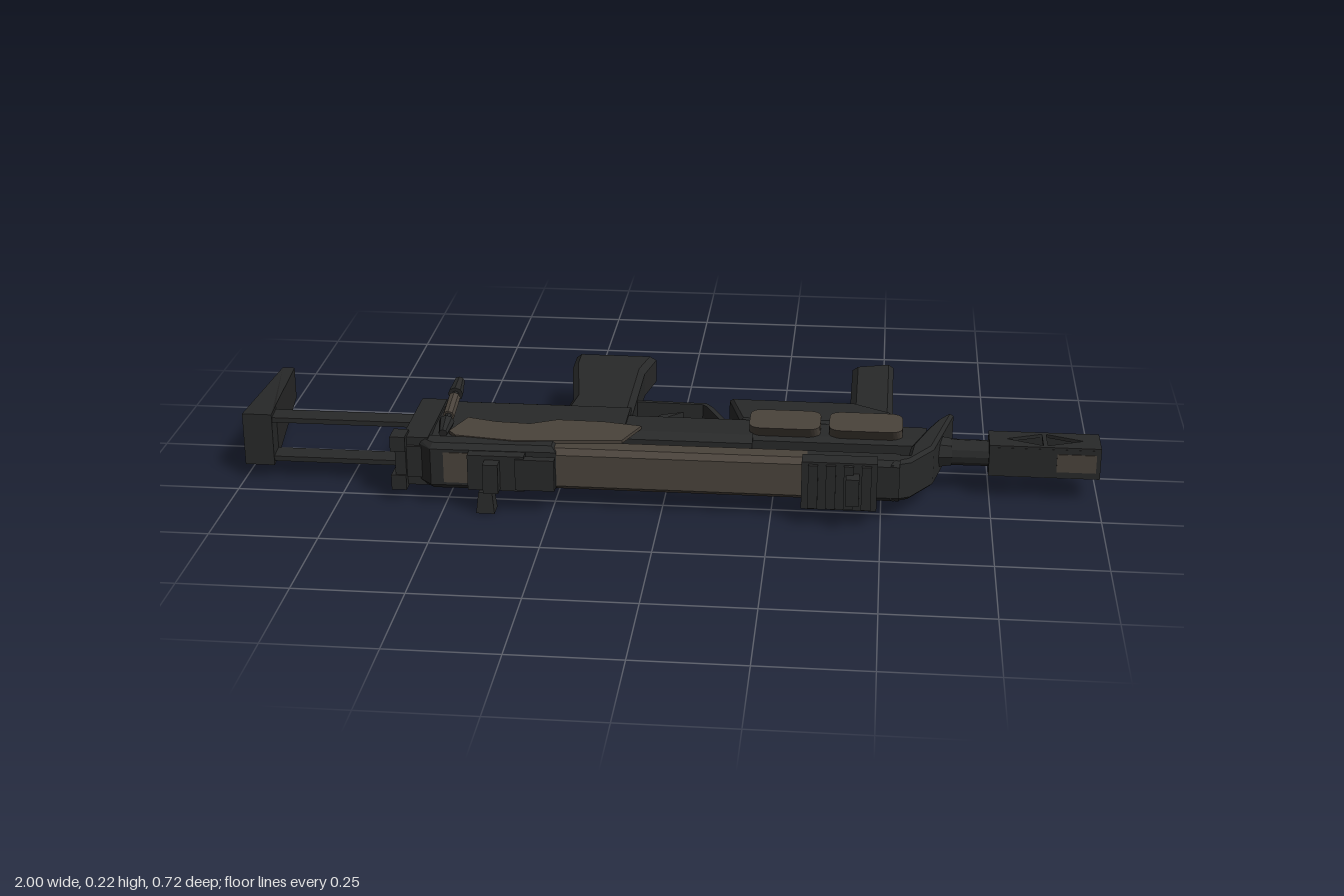
import * as THREE from 'three';

const MID = 0.097; // height of the centre plane (the model lies on its side)

export function createModel() {
  const root = new THREE.Group();
  const dark = new THREE.MeshStandardMaterial({ color: 0x282929 });
  dark.name = 'charcoal';
  const brown = new THREE.MeshStandardMaterial({ color: 0x4a433b });
  brown.name = 'brown';

  const add = (name, geo, mat) => {
    const m = new THREE.Mesh(geo, mat);
    m.name = name;
    root.add(m);
    return m;
  };
  const outline = pts => new THREE.Shape(pts.map(p => new THREE.Vector2(...p)));

  // Slab from an outline in x,z; symmetric about height y, with optional chamfer
  function slabGeo(shape, half, bevel = 0, y = MID) {
    const g = new THREE.ExtrudeGeometry(shape, {
      depth: 2 * (half - bevel), bevelEnabled: bevel > 0, bevelSize: bevel, bevelOffset: -bevel,
      bevelThickness: bevel, bevelSegments: 1, curveSegments: 6,
    });
    g.translate(0, 0, -(half - bevel));
    g.rotateX(Math.PI / 2);
    return g.translate(0, y, 0);
  }
  const slab = (name, pts, half, mat = dark, bevel = 0, y = MID) =>
    add(name, slabGeo(outline(pts), half, bevel, y), mat);

  // Box given by its limits on each axis
  function box(name, x0, x1, y0, y1, z0, z1, mat = dark) {
    const g = new THREE.BoxGeometry(x1 - x0, y1 - y0, z1 - z0);
    g.translate((x0 + x1) / 2, (y0 + y1) / 2, (z0 + z1) / 2);
    return add(name, g, mat);
  }

  // Prism along x from half of a symmetric section: [z, half height]
  function prism(name, x0, x1, half, mat = dark) {
    const pts = [...half.map(([z, h]) => [-z, MID + h]),
      ...half.slice().reverse().map(([z, h]) => [-z, MID - h])];
    const g = new THREE.ExtrudeGeometry(outline(pts), { depth: x1 - x0, bevelEnabled: false });
    g.rotateY(Math.PI / 2).translate(x0, 0, 0);
    return add(name, g, mat);
  }

  // Round bar between two points
  function bar(name, a, b, r0, r1 = r0, mat = dark, sides = 8) {
    const p = new THREE.Vector3(...a), q = new THREE.Vector3(...b);
    const g = new THREE.CylinderGeometry(r1, r0, p.distanceTo(q), sides).toNonIndexed();
    g.computeVertexNormals();
    const m = add(name, g, mat);
    m.position.copy(p).lerp(q, 0.5);
    m.quaternion.setFromUnitVectors(new THREE.Vector3(0, 1, 0), q.sub(p).normalize());
  }

  // Sliding end: tapered plate and two rods
  const butt = slab('endPlate', [[-1, -0.19], [-0.97, -0.19], [-0.935, 0.12], [-0.93, 0.18], [-1, 0.18]], 0.064);
  const bp = butt.geometry.attributes.position;
  for (let i = 0; i < bp.count; i++) {
    if (bp.getZ(i) < 0) bp.setY(i, MID + (bp.getY(i) - MID) * 0.62);
  }
  butt.geometry.computeVertexNormals();
  for (const s of [-1, 1]) {
    const y = MID + s * 0.049;
    box('slideRod', -0.94, -0.58, y - 0.006, y + 0.006, 0.122, 0.175);
  }

  // Rear body
  prism('rearBody', -0.6, -0.1, [[0, 0.042], [0.02, 0.05], [0.17, 0.052], [0.25, 0.043], [0.275, 0.038]]);
  box('rearCap', -0.6, -0.54, 0.038, 0.156, 0.03, 0.27);
  slab('upperRear', [[-0.59, 0.24], [-0.24, 0.24], [-0.24, 0.295], [-0.53, 0.3]], 0.056, dark, 0.012);
  for (const y of [0.05, 0.145]) box('rearLug', -0.625, -0.59, y - 0.018, y + 0.018, 0.24, 0.29);
  box('rearLugBridge', -0.615, -0.59, 0.06, 0.135, 0.245, 0.285);

  // Brown side panel with a wavy edge, on the upper face
  slab('sidePanel', [[-0.5, 0.22], [-0.47, 0.135], [-0.4, 0.155], [-0.32, 0.16], [-0.26, 0.13],
    [-0.15, 0.132], [-0.06, 0.15], [-0.095, 0.24], [-0.2, 0.25], [-0.34, 0.265], [-0.48, 0.245]],
    0.004, brown, 0, MID + 0.054);
  box('upperBrownFace', -0.5, -0.38, 0.06, 0.134, 0.296, 0.301, brown);

  // Central and front body
  prism('middleBody', -0.12, 0.2, [[0.045, 0.034], [0.06, 0.046], [0.15, 0.046], [0.175, 0.034]]);
  prism('frontBody', 0.18, 0.6, [[0.05, 0.034], [0.065, 0.044], [0.14, 0.044], [0.155, 0.034]]);
  prism('upperBeam', -0.25, 0.33, [[0.24, 0.05], [0.28, 0.05], [0.295, 0.038]], brown);
  prism('upperBeamFront', 0.33, 0.54, [[0.24, 0.05], [0.28, 0.05], [0.292, 0.038]]);

  // Slanted nose frame
  slab('noseFrame', [[0.65, -0.02], [0.665, -0.02], [0.617, 0.19], [0.565, 0.27], [0.52, 0.292],
    [0.52, 0.245], [0.558, 0.24], [0.565, 0.18], [0.6, 0.08], [0.625, 0.02]], 0.05, dark, 0.008);

  // Flared brown pads, wider towards their outer faces
  for (const [x0, x1] of [[0.19, 0.355], [0.375, 0.545]]) {
    const r = 0.032, s = new THREE.Shape();
    s.moveTo(x0 + r, 0.045).lineTo(x1 - r, 0.045).quadraticCurveTo(x1, 0.045, x1, 0.045 + r);
    s.lineTo(x1, 0.16 - r).quadraticCurveTo(x1, 0.16, x1 - r, 0.16);
    s.lineTo(x0 + r, 0.16).quadraticCurveTo(x0, 0.16, x0, 0.16 - r);
    s.lineTo(x0, 0.045 + r).quadraticCurveTo(x0, 0.045, x0 + r, 0.045);
    for (const side of [-1, 1]) {
      const g = slabGeo(s, 0.018, 0, MID - 0.007 + side * 0.057);
      const p = g.attributes.position;
      for (let i = 0; i < p.count; i++) {
        const out = Math.abs(p.getY(i) - 0.09) > 0.06;
        if (!out) p.setZ(i, 0.1025 + (p.getZ(i) - 0.1025) * 0.6);
      }
      g.computeVertexNormals();
      add('flaredPad', g, brown);
    }
  }

  // Rear grip, front grip, trigger and its guard
  slab('rearGrip', [[-0.28, -0.36], [-0.077, -0.358], [-0.096, -0.256], [-0.096, 0.02], [-0.26, 0.02],
    [-0.25, -0.07], [-0.28, -0.28]], 0.043, dark, 0.014);
  slab('frontGrip', [[0.42, -0.333], [0.522, -0.36], [0.522, 0.03], [0.42, 0.03], [0.42, -0.075]], 0.043, dark, 0.014);
  slab('frontGripMount', [[0.13, -0.075], [0.43, -0.075], [0.522, -0.02], [0.522, 0.055], [0.165, 0.055]], 0.046, dark, 0.008);
  slab('triggerGuard', [[-0.11, -0.1], [0.072, -0.094], [0.09, -0.07], [0.15, 0.06], [0.138, 0.06],
    [0.075, -0.072], [0.064, -0.084], [-0.11, -0.088]], 0.022);
  slab('trigger', [[0.02, -0.05], [-0.015, -0.015], [-0.02, 0.05], [-0.09, 0.05], [-0.05, 0], [-0.03, -0.03]], 0.015);

  // Barrel and slotted muzzle
  bar('barrel', [0.54, MID, 0.098], [0.77, MID, 0.098], 0.032, 0.03, dark, 12);
  bar('barrelCollar', [0.59, MID, 0.098], [0.66, MID, 0.098], 0.045, 0.034);
  const slotted = outline([[0.745, 0.053], [1, 0.053], [1, 0.142], [0.745, 0.142]]);
  for (const [a, b] of [[0.785, 0.868], [0.962, 0.878]]) {
    slotted.holes.push(new THREE.Path([[a, 0.0975], [b, 0.064], [b, 0.131]].map(p => new THREE.Vector2(...p))));
  }
  for (const s of [-1, 1]) {
    add('muzzleSlottedFace', slabGeo(slotted, 0.004, 0, MID + s * 0.034), dark);
    const z = 0.0975 + s * 0.04;
    box('muzzleSide', 0.745, 1, 0.064, 0.13, z - 0.005, z + 0.005);
    box('muzzleBrownFacet', 0.9, 0.99, 0.075, 0.119, z + s * 0.005 - 0.002, z + s * 0.005 + 0.002, brown);
  }
  box('muzzleBack', 0.745, 0.76, 0.065, 0.129, 0.055, 0.14);
  box('muzzleEnd', 0.985, 1, 0.065, 0.129, 0.055, 0.14);

  // Rear and front sights
  box('rearSightBase', -0.44, -0.31, 0.055, 0.14, 0.29, 0.325);
  box('rearSightPlate', -0.33, -0.24, 0.06, 0.135, 0.308, 0.33);
  box('rearSightPost', -0.4, -0.365, 0.06, 0.13, 0.32, 0.355);
  box('frontSightBase', 0.32, 0.49, 0.04, 0.155, 0.28, 0.325);
  for (let i = 0; i < 4; i++) {
    const x = 0.335 + i * 0.04;
    box('frontSightRib', x, x + 0.022, 0.045, 0.15, 0.325, 0.334);
  }
  box('frontSightPost', 0.42, 0.45, 0.065, 0.13, 0.325, 0.36);

  // Tapered side knob
  const knob = new THREE.CylinderGeometry(0.022, 0.03, 0.05, 4).toNonIndexed();
  knob.rotateY(Math.PI / 4).computeVertexNormals();
  add('sideKnob', knob.translate(-0.4, 0.025, 0.312), dark);

  // Tilted lever standing off the upper face
  const at = t => [-0.508, 0.16 + t * 0.044, 0.25 - t * 0.22];
  bar('leverArm', at(0), at(1), 0.009, 0.009);
  bar('leverRoot', at(0), at(0.22), 0.01, 0.018);
  bar('leverGrip', at(0.32), at(0.68), 0.014, 0.014, brown);
  bar('leverTip', at(0.74), at(1), 0.018, 0.012);
  return root;
}
